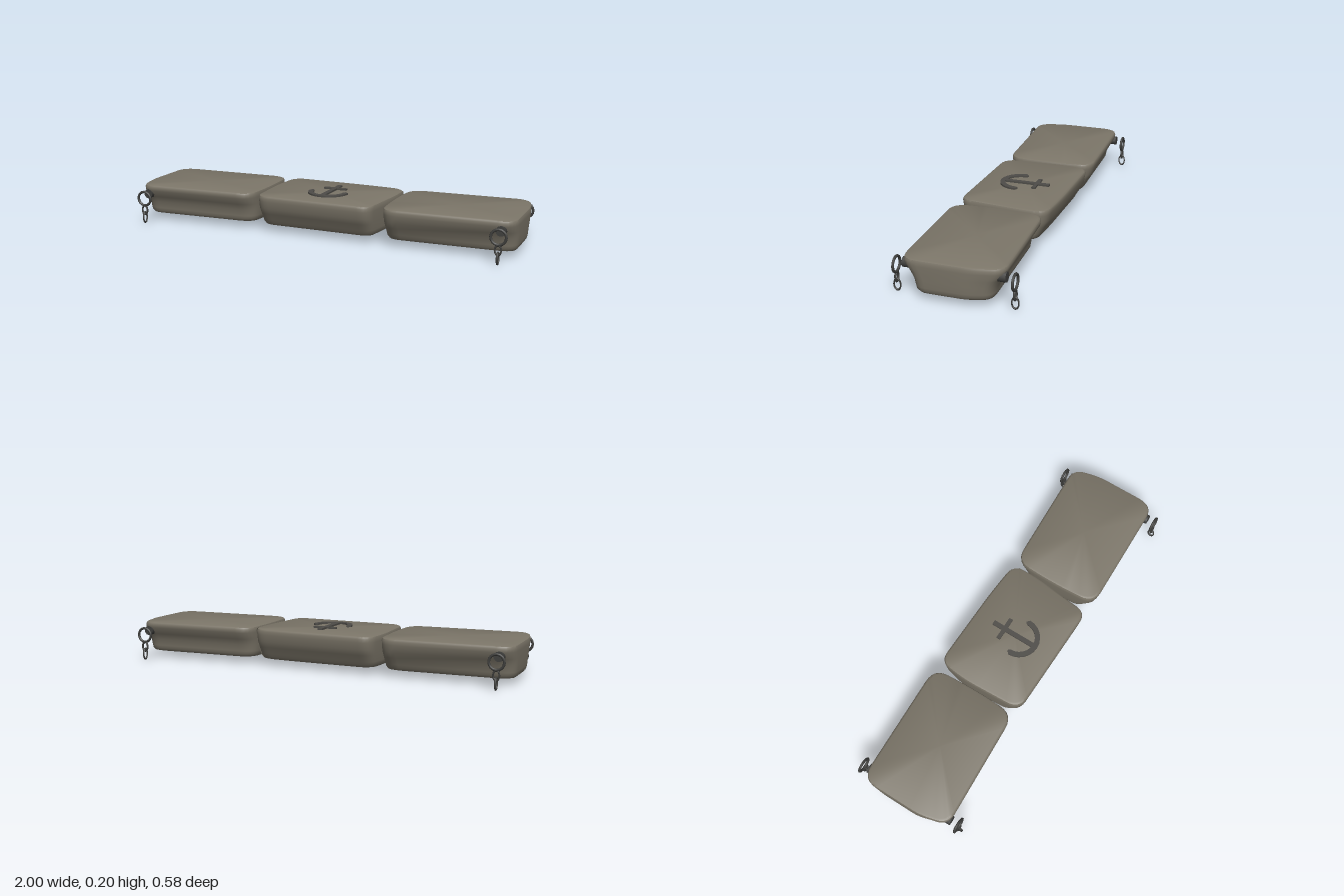
import * as THREE from 'three';
import { mergeVertices, toCreasedNormals } from 'three/addons/utils/BufferGeometryUtils.js';

const stone = new THREE.MeshStandardMaterial({ color: 0x7b7568 });
stone.name = 'weathered stone';
const metal = new THREE.MeshStandardMaterial({ color: 0x3f3f3d });
metal.name = 'dark iron';
const inlay = new THREE.MeshStandardMaterial({ color: 0x4e4c48 });
inlay.name = 'anchor grey';

// Outline with softened corners; corners are [x, z, radius]
function roundedOutline(corners) {
  const points = [];
  corners.forEach(([x, z, r], i) => {
    const c = new THREE.Vector2(x, z);
    const toward = ([px, pz]) => new THREE.Vector2(px, pz).sub(c).setLength(r).add(c);
    const before = toward(corners.at(i - 1));
    const after = toward(corners[(i + 1) % corners.length]);
    points.push(...new THREE.QuadraticBezierCurve(before, c, after).getPoints(6));
  });
  return points;
}

// Slab lofted from rings; levels are [y, x scale, undercut z scale, full z scale]
function slab(name, corners, levels, undercut) {
  const outline = roundedOutline(corners);
  const xs = outline.map(p => p.x);
  const min = Math.min(...xs), max = Math.max(...xs), mid = (min + max) / 2;
  const n = outline.length, pos = [], idx = [];
  for (const [y, sx, cut, full] of levels) {
    for (const p of outline) {
      const t = undercut ? (p.y > 0 ? 0 : (p.x - min) / (max - min)) : 1;
      pos.push(mid + (p.x - mid) * sx, y, p.y * THREE.MathUtils.lerp(cut, full, t));
    }
  }
  for (let l = 0; l < levels.length - 1; l++) {
    for (let i = 0; i < n; i++) {
      const a = l * n + i, b = l * n + (i + 1) % n;
      idx.push(a, b, b + n, a, b + n, a + n);
    }
  }
  // Flat bottom and top caps
  const top = (levels.length - 1) * n, centre = levels.length * n;
  pos.push(mid, levels[0][0], 0, mid, levels.at(-1)[0], 0);
  for (let i = 0; i < n; i++) {
    const j = (i + 1) % n;
    idx.push(centre, j, i, centre + 1, top + i, top + j);
  }
  let geo = new THREE.BufferGeometry();
  geo.setAttribute('position', new THREE.Float32BufferAttribute(pos, 3));
  geo.setIndex(idx);
  geo = toCreasedNormals(mergeVertices(geo), 0.75);
  const mesh = new THREE.Mesh(geo, stone);
  mesh.name = name;
  return mesh;
}

const levels = [
  [0.033, 0.9, 0.67, 0.68],
  [0.037, 0.95, 0.73, 0.74],
  [0.05, 0.975, 0.77, 0.78],
  [0.065, 0.982, 0.78, 0.81],
  [0.1, 0.99, 0.81, 0.9],
  [0.13, 0.995, 0.88, 0.97],
  [0.165, 1, 0.99, 0.99],
  [0.182, 1, 1, 1],
  [0.191, 0.99, 0.985, 0.985],
  [0.195, 0.965, 0.95, 0.95],
];
const endCorners = [
  [-1.0, -0.228, 0.08], [-1.0, 0.1, 0.05], [-0.965, 0.24, 0.06],
  [-0.35, 0.212, 0.08], [-0.342, 0, 0.1], [-0.355, -0.246, 0.08],
];
const middleCorners = [
  [-0.33, -0.1, 0.08], [-0.315, 0.224, 0.07], [0.295, 0.238, 0.06],
  [0.33, -0.1, 0.08], [0.325, -0.212, 0.06], [0.15, -0.228, 0.1], [-0.31, -0.24, 0.06],
];

function anchor() {
  const g = new THREE.Group();
  g.name = 'anchor';
  const depth = 0.009, y = 0.1945;
  const bar = (name, w, d, z) => {
    const m = new THREE.Mesh(new THREE.BoxGeometry(w, depth, d), inlay);
    m.position.set(0, y + depth / 2, z);
    m.name = name;
    g.add(m);
  };
  bar('shank', 0.024, 0.235, -0.008);
  bar('stock', 0.122, 0.02, -0.06);
  // Curved arms with pointed tips; shape y runs along -z
  const s = new THREE.Shape();
  const steps = 12, R = 0.104, r = 0.078, at = (rad, a) => [rad * Math.cos(a), -0.026 + rad * Math.sin(a)];
  s.moveTo(...at(R, Math.PI));
  for (let i = 1; i <= steps; i++) s.lineTo(...at(R, Math.PI * (1 + i / steps)));
  s.lineTo(0.088, -0.012);
  for (let i = steps; i >= 0; i--) s.lineTo(...at(r, Math.PI * (1 + i / steps)));
  s.lineTo(-0.088, -0.012);
  const arms = new THREE.Mesh(new THREE.ExtrudeGeometry(s, { depth, bevelEnabled: false }), inlay);
  arms.rotation.x = -Math.PI / 2;
  arms.position.y = y;
  arms.name = 'arms';
  g.add(arms);
  return g;
}

// Mount, large ring and two hanging links at one corner
function chain(sx, sz) {
  const g = new THREE.Group();
  g.name = 'cornerChain';
  g.position.set(sx * 0.935, 0, sz * 0.273);
  const mount = new THREE.Mesh(new THREE.CylinderGeometry(0.024, 0.024, 0.045, 10), metal);
  mount.rotation.x = Math.PI / 2;
  mount.position.set(0, 0.148, -sz * 0.0575);
  mount.name = 'chainMount';
  g.add(mount);
  const ring = (name, radius, tube, y, squash, turn) => {
    const m = new THREE.Mesh(new THREE.TorusGeometry(radius, tube, 8, 16), metal);
    m.position.y = y;
    m.scale.x = squash;
    m.rotation.y = turn;
    m.name = name;
    g.add(m);
  };
  ring('largeRing', 0.036, 0.0065, 0.13, 1, 0);
  ring('middleLink', 0.023, 0.006, 0.07, 0.65, 0);
  ring('lowerLink', 0.027, 0.005, 0.032, 0.6, Math.PI / 2);
  return g;
}

export function createModel() {
  const model = new THREE.Group();
  model.name = 'stonePlatform';
  const right = slab('rightSlab', endCorners, levels, true);
  const left = right.clone();
  left.name = 'leftSlab';
  left.rotation.y = Math.PI;
  model.add(right, left, slab('middleSlab', middleCorners, levels, false), anchor());
  for (const sx of [-1, 1]) for (const sz of [-1, 1]) model.add(chain(sx, sz));
  return model;
}
